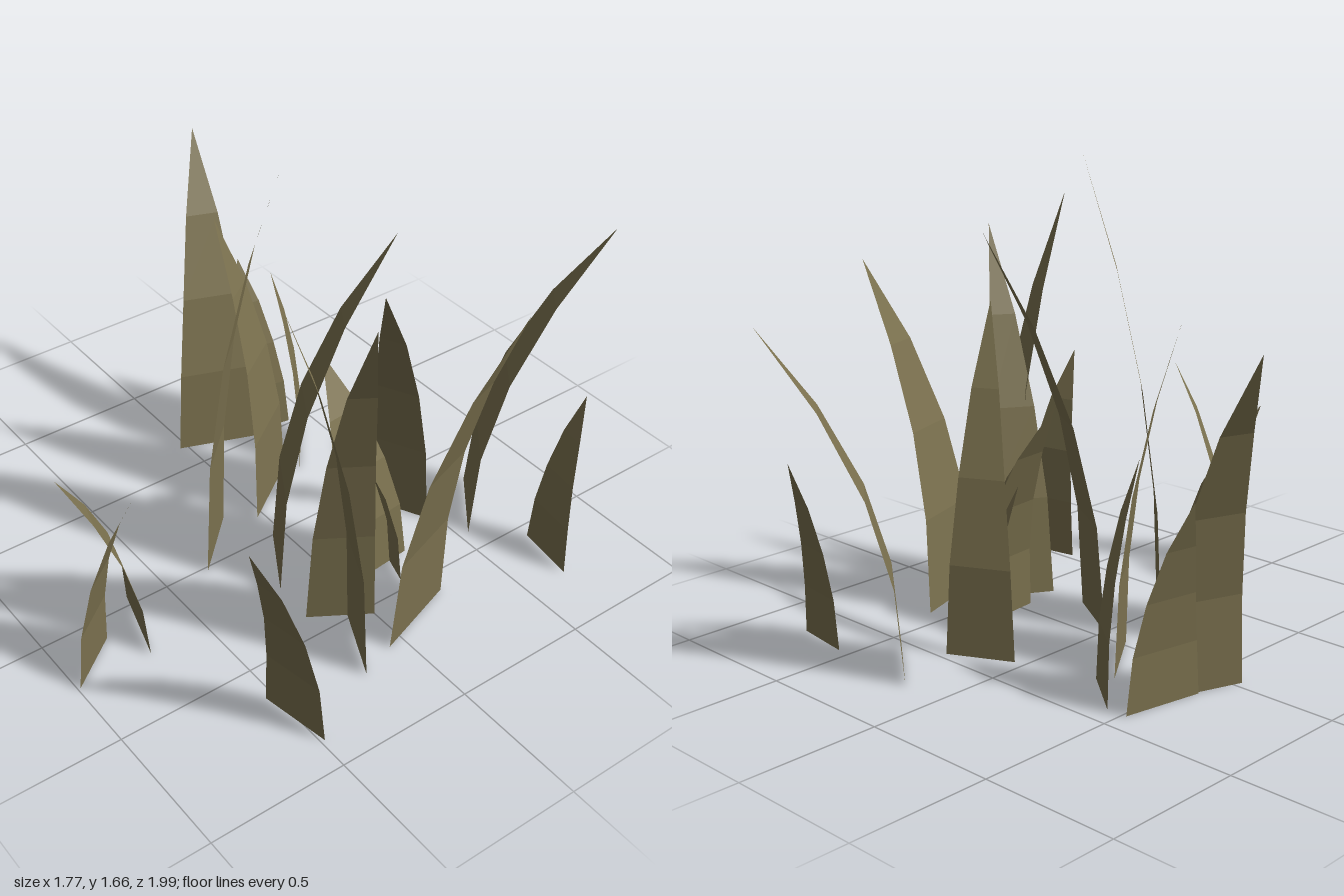
import * as THREE from 'three';

// Each blade: base corner a (x, z), base corner b (x, z), tip (x, y, z)
const BLADES = [
  [[0.17, -0.73], [0.41, -0.54], [0.53, 1.18, -1.0]],
  [[0.55, -0.70], [0.77, -0.67], [0.67, 0.66, -0.79]],
  [[-0.515, -0.25], [-0.62, 0.03], [-0.89, 1.19, -0.25]],
  [[-0.515, -0.415], [-0.57, -0.13], [-0.685, 0.71, -0.30]],
  [[-0.44, -0.42], [-0.25, -0.27], [-0.435, 0.79, -0.27]],
  [[-0.295, -0.23], [-0.11, 0.03], [-0.345, 1.16, 0.03]],
  [[-0.185, 0.13], [0.02, 0.34], [0.16, 1.66, 0.10]],
  [[0.0, 0.04], [0.25, 0.19], [0.395, 1.40, -0.15]],
  [[0.04, -0.36], [0.26, -0.47], [0.375, 1.16, -0.13]],
  [[0.35, -0.29], [0.385, 0.055], [0.12, 0.82, -0.08]],
  [[0.24, -0.25], [0.46, -0.18], [0.29, 0.68, 0.0]],
  [[0.41, 0.20], [0.535, 0.0], [0.72, 1.35, 0.19]],
  [[0.487, 0.08], [0.74, 0.20], [0.555, 1.46, 0.42]],
  [[0.58, -0.26], [0.69, 0.06], [0.835, 1.27, -0.31]],
  [[0.63, 0.53], [0.885, 0.485], [0.76, 0.79, 0.68]],
  [[-0.04, 0.64], [0.24, 0.72], [-0.01, 0.66, 0.89]],
  [[0.09, 0.80], [0.235, 0.99], [0.33, 0.79, 0.79]],
];

// Height, forward bend and width at each level, as fractions
const LEVELS = [[0, 0, 1], [0.27, 0.06, 0.88], [0.52, 0.25, 0.67], [0.765, 0.57, 0.4], [1, 1, 0]];

// A flat tapering strip that bends from its base edge to its tip
function bladeGeometry([a, b, tip]) {
  const mx = (a[0] + b[0]) / 2, mz = (a[1] + b[1]) / 2;
  const hx = (b[0] - a[0]) / 2, hz = (b[1] - a[1]) / 2;
  const pos = [], index = [];
  LEVELS.forEach(([h, bend, w], i) => {
    const cx = mx + (tip[0] - mx) * bend, cz = mz + (tip[2] - mz) * bend;
    pos.push(cx - hx * w, tip[1] * h, cz - hz * w, cx + hx * w, tip[1] * h, cz + hz * w);
    const k = i * 2;
    if (i < LEVELS.length - 1) index.push(k, k + 1, k + 2);
    if (i < LEVELS.length - 2) index.push(k + 1, k + 3, k + 2);
  });
  const g = new THREE.BufferGeometry();
  g.setAttribute('position', new THREE.Float32BufferAttribute(pos, 3));
  g.setIndex(index);
  const flat = g.toNonIndexed();
  flat.computeVertexNormals();
  return flat;
}

export function createModel() {
  const group = new THREE.Group();
  group.name = 'grassTuft';
  const dryGrass = new THREE.MeshStandardMaterial({ color: 0x7d7350, side: THREE.DoubleSide, flatShading: true });
  dryGrass.name = 'dryGrass';
  BLADES.forEach((blade, i) => {
    const mesh = new THREE.Mesh(bladeGeometry(blade), dryGrass);
    mesh.name = `grassBlade${i + 1}`;
    group.add(mesh);
  });
  return group;
}
